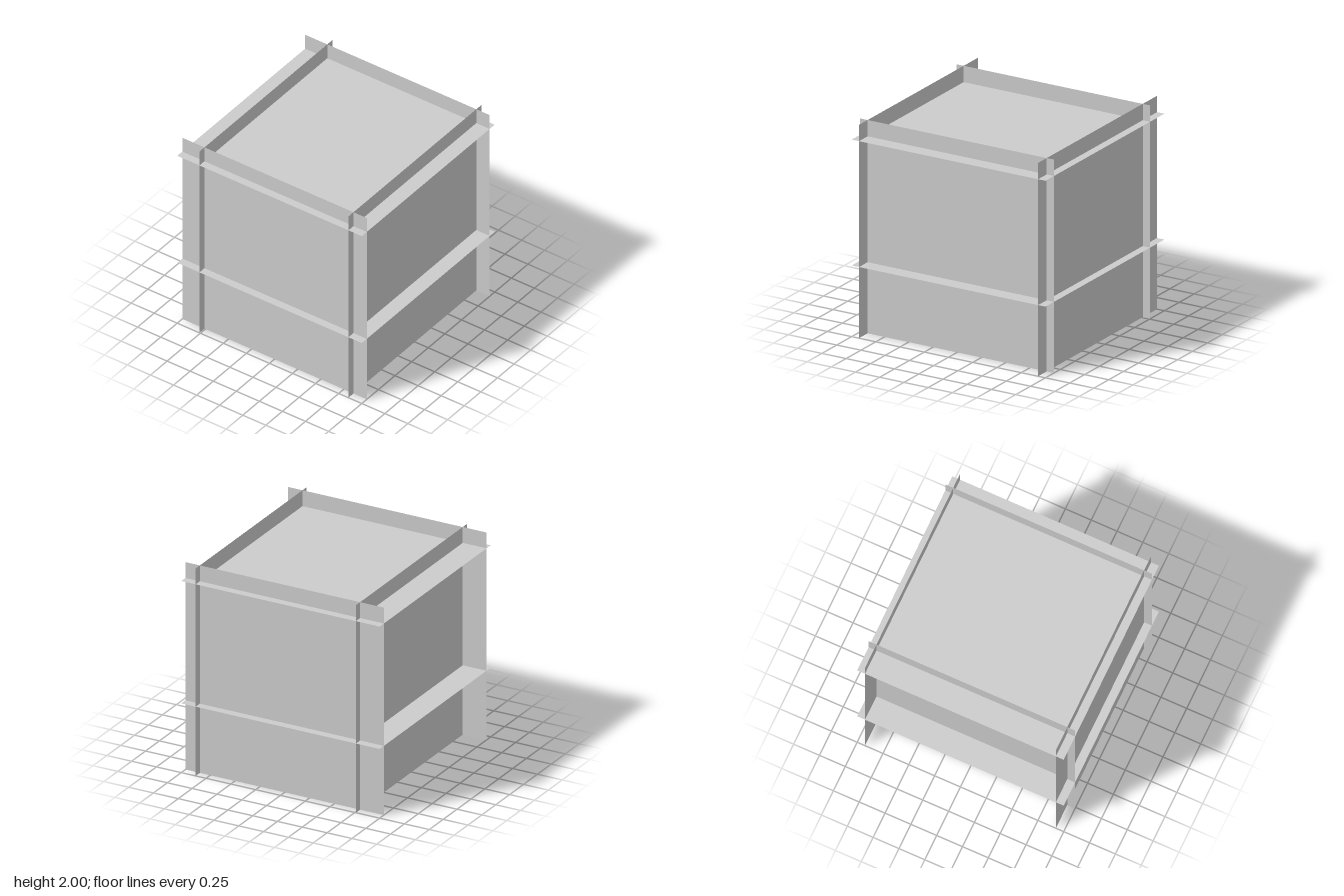
import * as THREE from 'three';

// Six equal square sheets, two per axis, that cross each other like a slotted crate.
export function createModel() {
  const group = new THREE.Group();
  group.name = 'crossedPanels';
  const material = new THREE.MeshStandardMaterial({ color: 0xcccccc, side: THREE.DoubleSide });
  const square = new THREE.PlaneGeometry(2, 2);

  const addPanel = (name, position, rotation = [0, 0, 0]) => {
    const panel = new THREE.Mesh(square, material);
    panel.name = name;
    panel.position.set(...position);
    panel.rotation.set(...rotation);
    group.add(panel);
  };

  // front and back sheets
  addPanel('frontPanel', [0, 1, 0.924]);
  addPanel('backPanel', [0, 1, -0.924]);

  // side sheets
  addPanel('leftPanel', [0.855, 1, 0], [0, Math.PI / 2, 0]);
  addPanel('rightPanel', [-0.76, 1, 0], [0, Math.PI / 2, 0]);

  // level sheets
  addPanel('upperPanel', [0, 1.847, 0], [-Math.PI / 2, 0, 0]);
  addPanel('lowerPanel', [0, 0.667, 0], [-Math.PI / 2, 0, 0]);

  return group;
}
